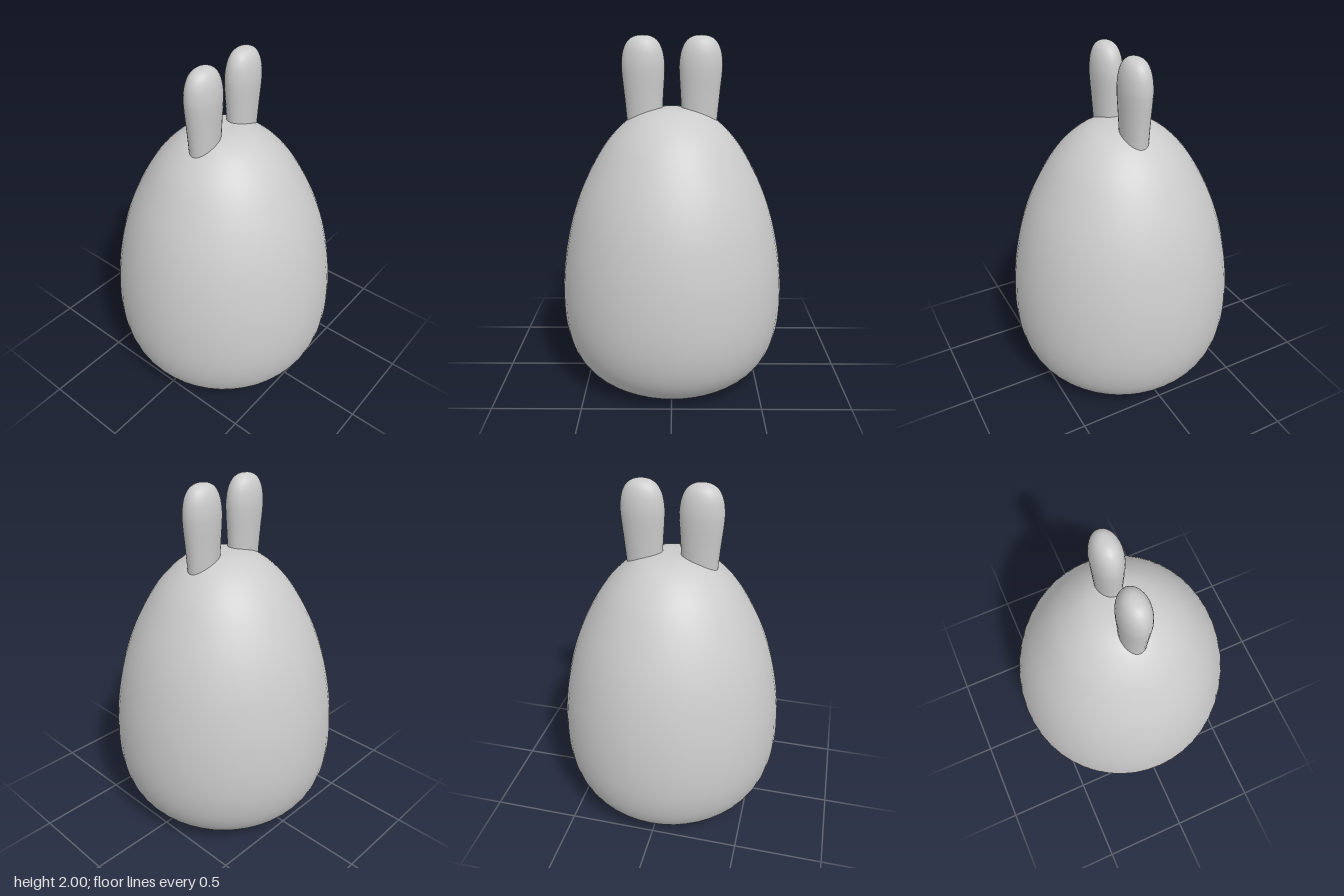
import * as THREE from 'three';

const material = new THREE.MeshStandardMaterial({ color: 0xcccccc });

// Smooth solid of revolution through [radius, y] points, listed bottom to top
function turned(name, points, samples, segments) {
  const curve = new THREE.SplineCurve(points.map(([r, y]) => new THREE.Vector2(r, y)));
  const profile = curve.getPoints(samples);
  profile.forEach(p => { p.x = Math.max(p.x, 0); });
  const mesh = new THREE.Mesh(new THREE.LatheGeometry(profile, segments), material);
  mesh.name = name;
  return mesh;
}

export function createModel() {
  const group = new THREE.Group();
  group.name = 'eggShapedFigure';

  // Egg-shaped body with a nearly flat, softly rounded base
  group.add(turned('body', [
    [0, 0.012], [0.15, 0.012], [0.28, 0.008], [0.37, 0.006], [0.45, 0.035], [0.53, 0.1],
    [0.592, 0.195], [0.63, 0.32], [0.645, 0.47], [0.638, 0.65], [0.612, 0.83],
    [0.565, 1.02], [0.495, 1.2], [0.395, 1.38], [0.3, 1.495], [0.2, 1.572],
    [0.1, 1.605], [0, 1.61],
  ], 72, 48));

  // Pair of upright ears, oval in section and slightly wider near the rounded tip
  for (const [side, name] of [[1, 'leftEar'], [-1, 'rightEar']]) {
    const ear = turned(name, [
      [0.093, 1.4], [0.1, 1.55], [0.109, 1.68], [0.118, 1.79], [0.119, 1.855],
      [0.108, 1.92], [0.083, 1.968], [0.045, 1.994], [0, 2],
    ], 40, 32);
    ear.scale.z = 0.7;
    ear.position.x = side * 0.126;
    ear.rotation.z = -side * 0.018;
    group.add(ear);
  }
  return group;
}
